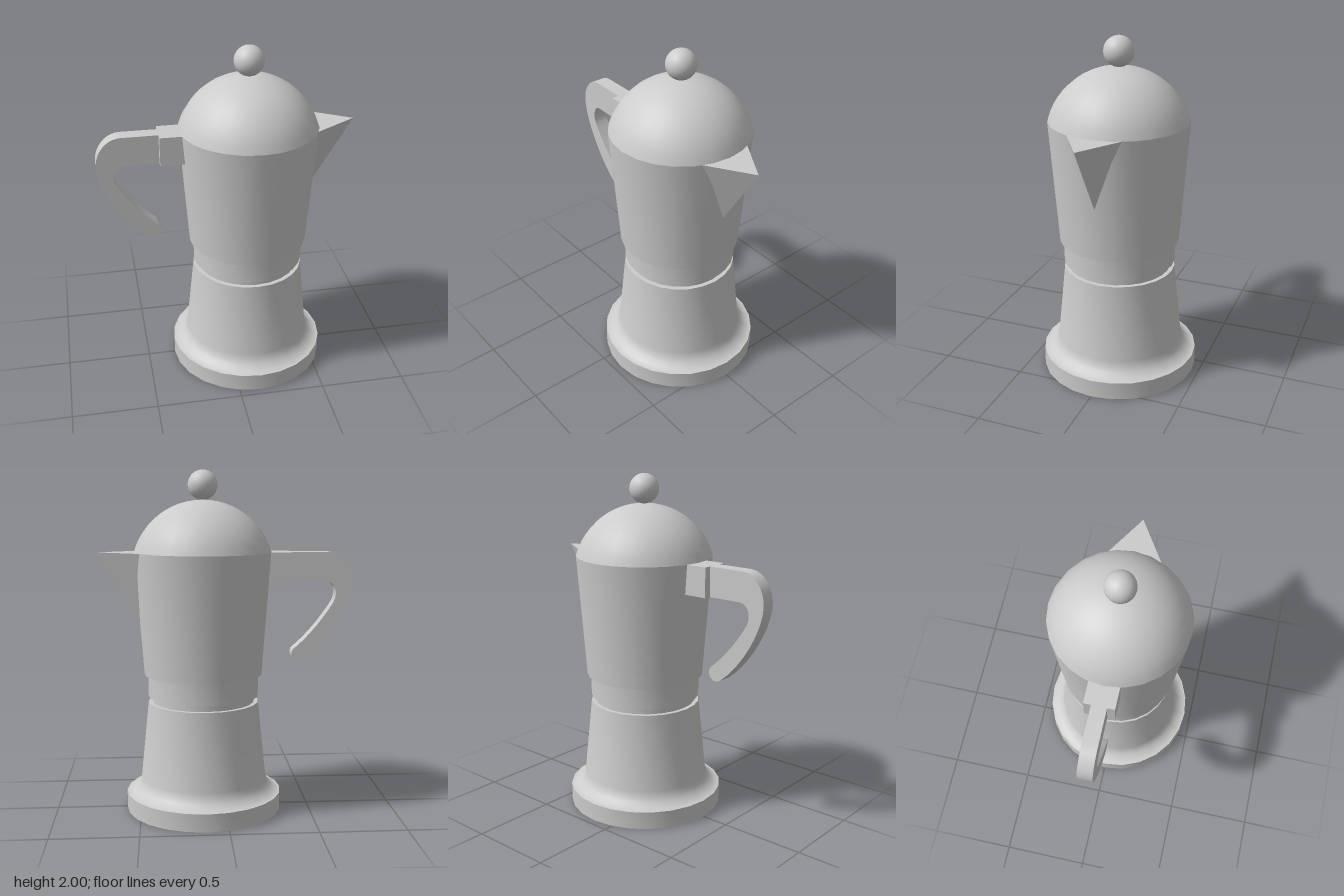
import * as THREE from 'three';
import { toCreasedNormals } from 'three/addons/utils/BufferGeometryUtils.js';

const AXIS_X = 0.125; // the pot stands off-centre, balanced by handle and spout
const SIDES = 24;
const material = new THREE.MeshStandardMaterial({ color: 0xcccccc });

function addPart(group, name, geometry, x = 0, y = 0, z = 0) {
  const mesh = new THREE.Mesh(geometry, material);
  mesh.name = name;
  mesh.position.set(x, y, z);
  group.add(mesh);
}

// Turned part from [radius, height] pairs, listed bottom to top
function turned(profile) {
  const points = profile.map(([r, y]) => new THREE.Vector2(r, y));
  return toCreasedNormals(new THREE.LatheGeometry(points, SIDES), 0.5);
}

// Spherical cap resting on a rim
function dome(radius, rimY, topY) {
  const h = topY - rimY;
  const R = (radius * radius + h * h) / (2 * h);
  const start = Math.asin((R - h) / R) * -1;
  const a0 = Math.abs(start);
  const points = [];
  for (let i = 0; i <= 12; i++) {
    const a = a0 + (Math.PI / 2 - a0) * (i / 12);
    points.push(new THREE.Vector2(Math.max(0, R * Math.cos(a)), topY - R + R * Math.sin(a)));
  }
  return new THREE.LatheGeometry(points, SIDES);
}

// Hooked grip outline, extruded across z
function grip(depth) {
  const s = new THREE.Shape();
  s.moveTo(-0.39, 1.36);
  s.lineTo(-0.39, 1.53);
  s.lineTo(-0.6, 1.53);
  s.bezierCurveTo(-0.68, 1.53, -0.745, 1.45, -0.745, 1.36);
  s.bezierCurveTo(-0.745, 1.23, -0.62, 1.01, -0.475, 0.897);
  s.absarc(-0.44, 0.93, 0.047, Math.PI * 1.24, Math.PI * 2.22, false);
  s.bezierCurveTo(-0.49, 1.03, -0.58, 1.14, -0.64, 1.24);
  s.bezierCurveTo(-0.67, 1.3, -0.64, 1.36, -0.59, 1.36);
  s.closePath();
  const g = new THREE.ExtrudeGeometry(s, { depth, bevelEnabled: false, curveSegments: 10 });
  g.translate(0, 0, -depth / 2);
  return toCreasedNormals(g, 0.6);
}

// Three-sided pouring lip, sunk a little into the wall
function spout() {
  const tip = new THREE.Vector3(0.74, 1.53, 0);
  const sink = (x, y, z) => new THREE.Vector3(x, y, z).sub(tip).multiplyScalar(1.08).add(tip);
  const left = sink(0.49, 1.53, 0.157);
  const right = sink(0.49, 1.53, -0.157);
  const low = sink(0.49, 1.12, 0);
  const g = new THREE.BufferGeometry().setFromPoints([
    left, tip, right,
    tip, left, low,
    tip, low, right,
    left, right, low,
  ]);
  g.computeVertexNormals();
  return g;
}

export function createModel() {
  const pot = new THREE.Group();
  pot.name = 'stovetopCoffeePot';

  // Foot and water chamber with a flared fillet
  addPart(pot, 'waterChamber', turned([
    [0, 0], [0.46, 0], [0.46, 0.105], [0.452, 0.105], [0.423, 0.118], [0.398, 0.138],
    [0.381, 0.163], [0.372, 0.195], [0.325, 0.65], [0, 0.65],
  ]), AXIS_X);

  // Narrow groove and threaded collar
  addPart(pot, 'neck', turned([[0.3, 0.64], [0.3, 0.69]]), AXIS_X);
  addPart(pot, 'collar', turned([[0, 0.685], [0.325, 0.685], [0.325, 0.82]]), AXIS_X);

  // Flared jug, domed lid and knob
  addPart(pot, 'jug', turned([[0, 0.815], [0.347, 0.815], [0.4, 1.53]]), AXIS_X);
  addPart(pot, 'lid', dome(0.4, 1.53, 1.83), AXIS_X);
  addPart(pot, 'knob', new THREE.SphereGeometry(0.086, 24, 16), AXIS_X, 1.914);

  // Spout on one side, handle on the other
  addPart(pot, 'spout', spout());
  addPart(pot, 'handleMount', new THREE.BoxGeometry(0.14, 0.17, 0.172), -0.32, 1.445);
  addPart(pot, 'handle', grip(0.086));

  return pot;
}
